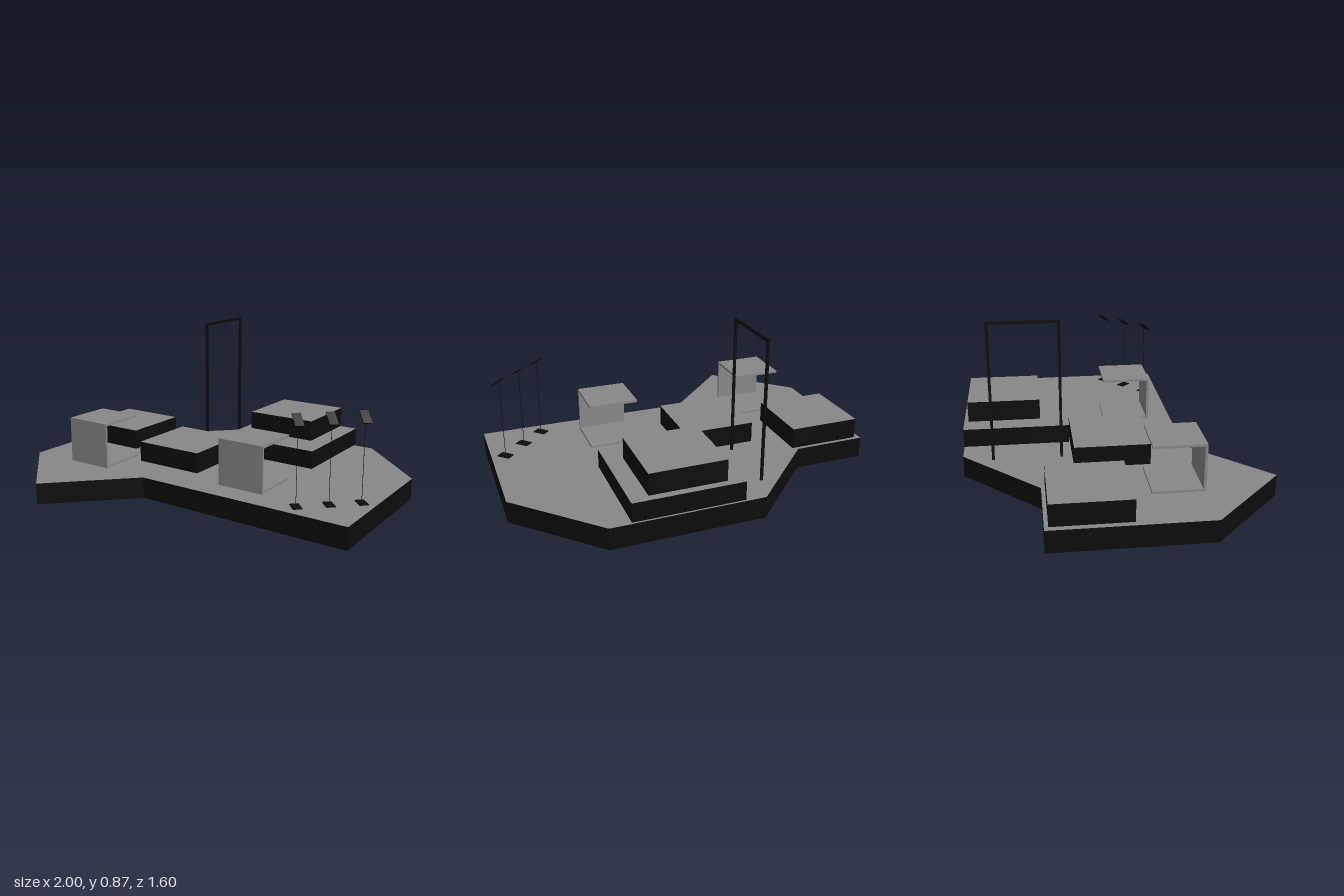
import * as THREE from 'three';

const black = new THREE.MeshStandardMaterial({ color: 0x0c0c0c });
const grey = new THREE.MeshStandardMaterial({ color: 0x888888, side: THREE.DoubleSide });

// Box from min/max ranges on each axis
function box(parent, name, [x0, x1], [y0, y1], [z0, z1], material) {
  const mesh = new THREE.Mesh(new THREE.BoxGeometry(x1 - x0, y1 - y0, z1 - z0), material);
  mesh.position.set((x0 + x1) / 2, (y0 + y1) / 2, (z0 + z1) / 2);
  mesh.name = name;
  parent.add(mesh);
  return mesh;
}

export function createModel() {
  const model = new THREE.Group();
  model.name = 'platformModel';
  const floor = 0.115;

  // Angular base slab with a grey deck
  const outline = [[-1, -0.4], [-0.6, -0.4], [-0.2, -0.8], [0.6, -0.8], [1, -0.4],
    [1, 0.4], [-0.2, 0.4], [-0.6, 0.795], [-1, 0.4]];
  const shape = new THREE.Shape(outline.map(([x, z]) => new THREE.Vector2(x, -z)));
  const slab = new THREE.Mesh(
    new THREE.ExtrudeGeometry(shape, { depth: floor, bevelEnabled: false }).rotateX(-Math.PI / 2), black);
  slab.name = 'baseSlab';
  const deck = new THREE.Mesh(new THREE.ShapeGeometry(shape).rotateX(-Math.PI / 2), grey);
  deck.position.y = floor + 0.001;
  deck.name = 'deck';
  model.add(slab, deck);

  // Black blocks with grey tops; the tiers float over narrow gaps
  const capped = [black, black, grey, black, black, black];
  box(model, 'sideBlock', [-0.97, -0.575], [floor, 0.23], [-0.38, 0.015], capped);
  box(model, 'middleBlock', [-0.4, 0], [floor, 0.23], [-0.22, 0.18], capped);
  box(model, 'lowerTier', [-0.09, 0.49], [0.123, 0.224], [-0.8, -0.225], capped);
  box(model, 'upperTier', [0, 0.4], [0.233, 0.347], [-0.775, -0.38], capped);

  // C-shaped shelters, open to the back
  for (const [x, z] of [[-0.73, 0.13], [0.2, 0]]) {
    const shelter = new THREE.Group();
    shelter.name = 'shelter';
    const s = 0.267, t = 0.013;
    box(shelter, 'shelterFloor', [0, s], [0.004, 0.004 + t], [0, s - t], grey);
    box(shelter, 'shelterRoof', [0, s], [0.255 - t, 0.255], [0, s - t], grey);
    box(shelter, 'shelterWall', [0, s], [0.002, 0.255], [s - t, s], grey);
    shelter.position.set(x, floor, z);
    model.add(shelter);
  }

  // Tall square arch
  const arch = new THREE.Group();
  arch.name = 'arch';
  const ax = [-0.259, -0.247], w = 0.014;
  box(arch, 'archFrontLeg', ax, [floor, 0.87], [-0.27 - w, -0.27], black);
  box(arch, 'archBackLeg', ax, [floor, 0.87], [-0.645, -0.645 + w], black);
  box(arch, 'archBeam', ax, [0.87 - w, 0.87], [-0.645 + w, -0.27 - w], black);
  model.add(arch);

  // Diagonal row of lamps on hair-thin poles
  for (const [x, z] of [[0.685, 0.315], [0.805, 0.2], [0.925, 0.085]]) {
    const lamp = new THREE.Group();
    lamp.name = 'lamp';
    box(lamp, 'lampFoot', [-0.024, 0.024], [0, 0.005], [-0.036, 0.036], black);
    box(lamp, 'lampPole', [-0.001, 0.001], [0, 0.435], [-0.001, 0.001], black);
    const head = box(lamp, 'lampHead', [-0.022, 0.022], [0.433, 0.439], [-0.04, 0.04], black);
    head.rotation.x = 0.62;
    lamp.position.set(x, floor, z);
    lamp.rotation.y = Math.PI / 4;
    model.add(lamp);
  }
  return model;
}
